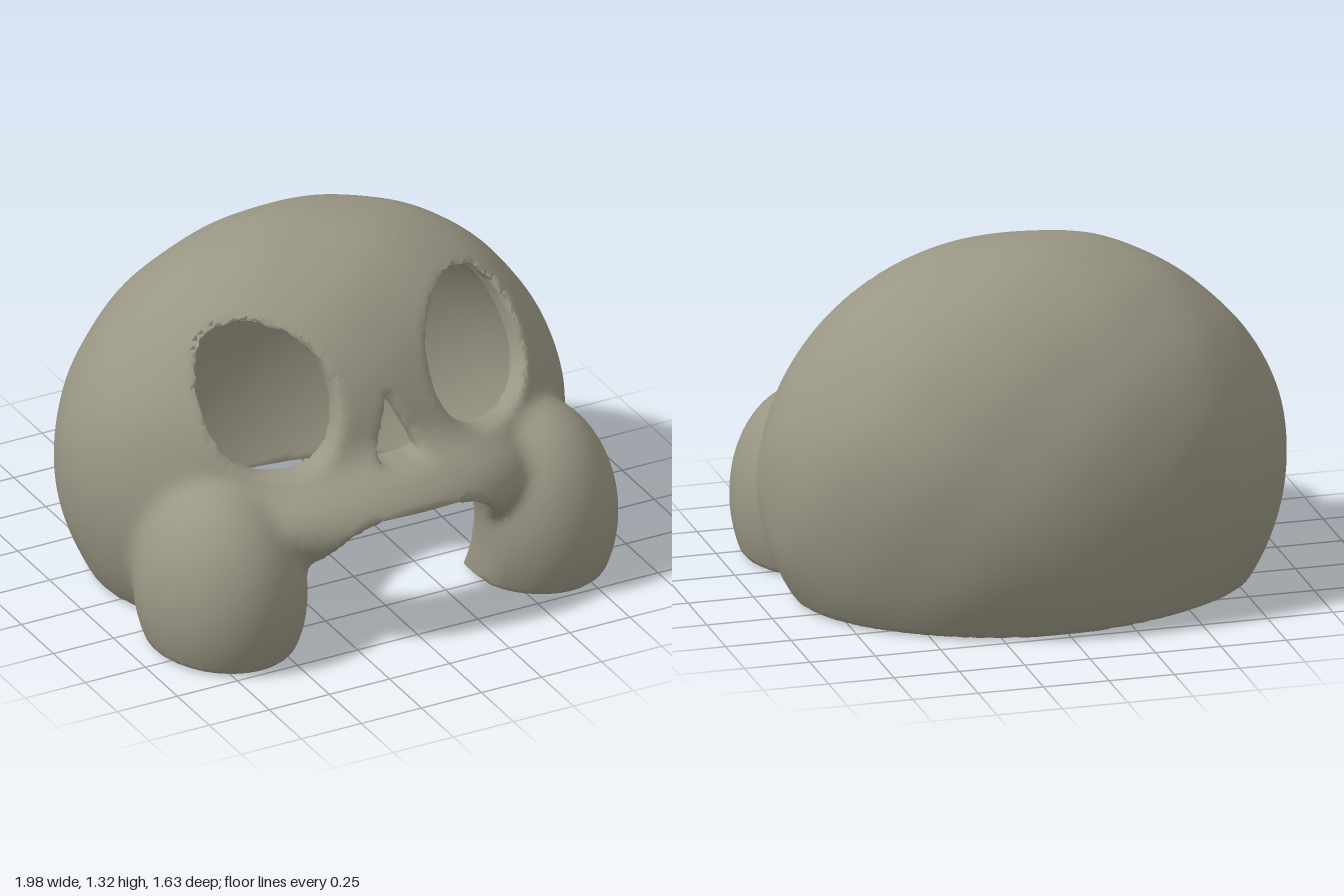
import * as THREE from 'three';
import { toCreasedNormals } from 'three/addons/utils/BufferGeometryUtils.js';

// ---- Distance helpers: negative inside, positive outside ----
function ellipsoid(x, y, z, c, r) {
  const px = (x - c[0]) / r[0], py = (y - c[1]) / r[1], pz = (z - c[2]) / r[2];
  const k0 = Math.hypot(px, py, pz);
  const k1 = Math.hypot(px / r[0], py / r[1], pz / r[2]);
  return k1 < 1e-6 ? -Math.min(...r) : k0 * (k0 - 1) / k1;
}
// Endless tube along z with a superellipse outline
function tunnel(x, y, cx, cy, rx, ry, p) {
  const f = Math.pow(Math.abs((x - cx) / rx), p) + Math.pow(Math.abs((y - cy) / ry), p);
  return (Math.pow(f, 1 / p) - 1) * Math.min(rx, ry);
}
function blend(a, b, k) {
  const h = Math.max(k - Math.abs(a - b), 0) / k;
  return Math.min(a, b) - h * h * k / 4;
}
const carve = (a, hole, k) => -blend(-a, hole, k);

// ---- The skull: solid masses blended together, then hollowed and cut ----
function skullField(x, y, z) {
  const ax = Math.abs(x);

  // Cranium with faint hand-sculpted unevenness
  const lumps = 0.012 * Math.sin(5 * x + 1) * Math.sin(5 * y + 0.6) * Math.sin(5 * z + 2)
    + 0.004 * Math.sin(12 * x + 2) * Math.sin(11 * y) * Math.sin(12 * z + 1);
  let d = ellipsoid(x, y, z, [0, 0.45, -0.1], [0.99, 0.88, 0.73]) + lumps;

  // Upper jaw and round cheeks
  d = blend(d, ellipsoid(x, y, z, [0, 0.48, 0.35], [0.65, 0.26, 0.475]), 0.07);
  d = blend(d, ellipsoid(ax, y, z, [0.645, 0.22, 0.42], [0.31, 0.43, 0.365]), 0.05);

  // Head cavity
  d = carve(d, ellipsoid(x, y, z, [0, 0.44, -0.1], [0.89, 0.79, 0.635]), 0.02);

  // Mouth arch, eye sockets and nose, all cut through the front wall only
  const mouth = tunnel(x, y, 0, 0, 0.39, 0.53, 3.5);
  const eye = tunnel(ax + 0.06 * (y - 0.9), y, 0.425, 0.9, 0.225, 0.24, 2.2);
  const noseSide = (ax - 0.095 * (0.885 - y) / 0.215) * 0.9;
  const nose = carve(noseSide, -(0.665 - y), 0.04);
  const openings = Math.max(Math.min(mouth, eye, nose), -z);
  d = carve(d, openings, 0.025);

  // Flat base
  return Math.max(d, -y);
}

// ---- Wraps a quad mesh around the zero level of a field ----
function meshField(field, min, max, step) {
  const n = min.map((m, a) => Math.ceil((max[a] - m) / step) + 1);
  const stride = [1, n[0], n[0] * n[1]];
  const values = new Float32Array(n[0] * n[1] * n[2]);
  const eachPoint = (fn) => {
    for (let k = 0; k < n[2]; k++)
      for (let j = 0; j < n[1]; j++)
        for (let i = 0; i < n[0]; i++)
          fn([i, j, k], i + j * stride[1] + k * stride[2]);
  };
  eachPoint((p, id) => {
    values[id] = field(min[0] + p[0] * step, min[1] + p[1] * step, min[2] + p[2] * step);
  });

  // One vertex per crossed cell, at the mean of its edge crossings
  const positions = [];
  const vertexOf = new Int32Array(values.length).fill(-1);
  eachPoint((p, id) => {
    if (p.some((v, a) => v >= n[a] - 1)) return;
    const sum = [0, 0, 0];
    let count = 0;
    for (let corner = 0; corner < 8; corner++) {
      const o = [corner & 1, (corner >> 1) & 1, corner >> 2];
      const from = id + o[0] + o[1] * stride[1] + o[2] * stride[2];
      for (let a = 0; a < 3; a++) {
        if (o[a]) continue;
        const v0 = values[from], v1 = values[from + stride[a]];
        if ((v0 < 0) === (v1 < 0)) continue;
        for (let b = 0; b < 3; b++) sum[b] += o[b];
        sum[a] += v0 / (v0 - v1);
        count++;
      }
    }
    if (!count) return;
    vertexOf[id] = positions.length / 3;
    for (let a = 0; a < 3; a++) positions.push(min[a] + (p[a] + sum[a] / count) * step);
  });

  // One quad per crossed grid edge
  const index = [];
  eachPoint((p, id) => {
    for (let a = 0; a < 3; a++) {
      const b = (a + 1) % 3, c = (a + 2) % 3;
      if (p[a] >= n[a] - 1 || p[b] < 1 || p[c] < 1) continue;
      const inside = values[id] < 0;
      if (inside === (values[id + stride[a]] < 0)) continue;
      const q = [id, id - stride[b], id - stride[b] - stride[c], id - stride[c]].map((v) => vertexOf[v]);
      if (!inside) q.reverse();
      index.push(q[0], q[1], q[2], q[0], q[2], q[3]);
    }
  });

  const geometry = new THREE.BufferGeometry();
  geometry.setAttribute('position', new THREE.Float32BufferAttribute(positions, 3));
  geometry.setIndex(index);
  return toCreasedNormals(geometry, 0.75);
}

export function createModel() {
  const bone = new THREE.MeshStandardMaterial({ color: 0x9a9684 });
  bone.name = 'bone';

  const skull = new THREE.Mesh(meshField(skullField, [-1.06, -0.05, -0.9], [1.06, 1.4, 0.9], 0.022), bone);
  skull.name = 'skullShell';

  const group = new THREE.Group();
  group.name = 'skullMask';
  group.add(skull);
  return group;
}
